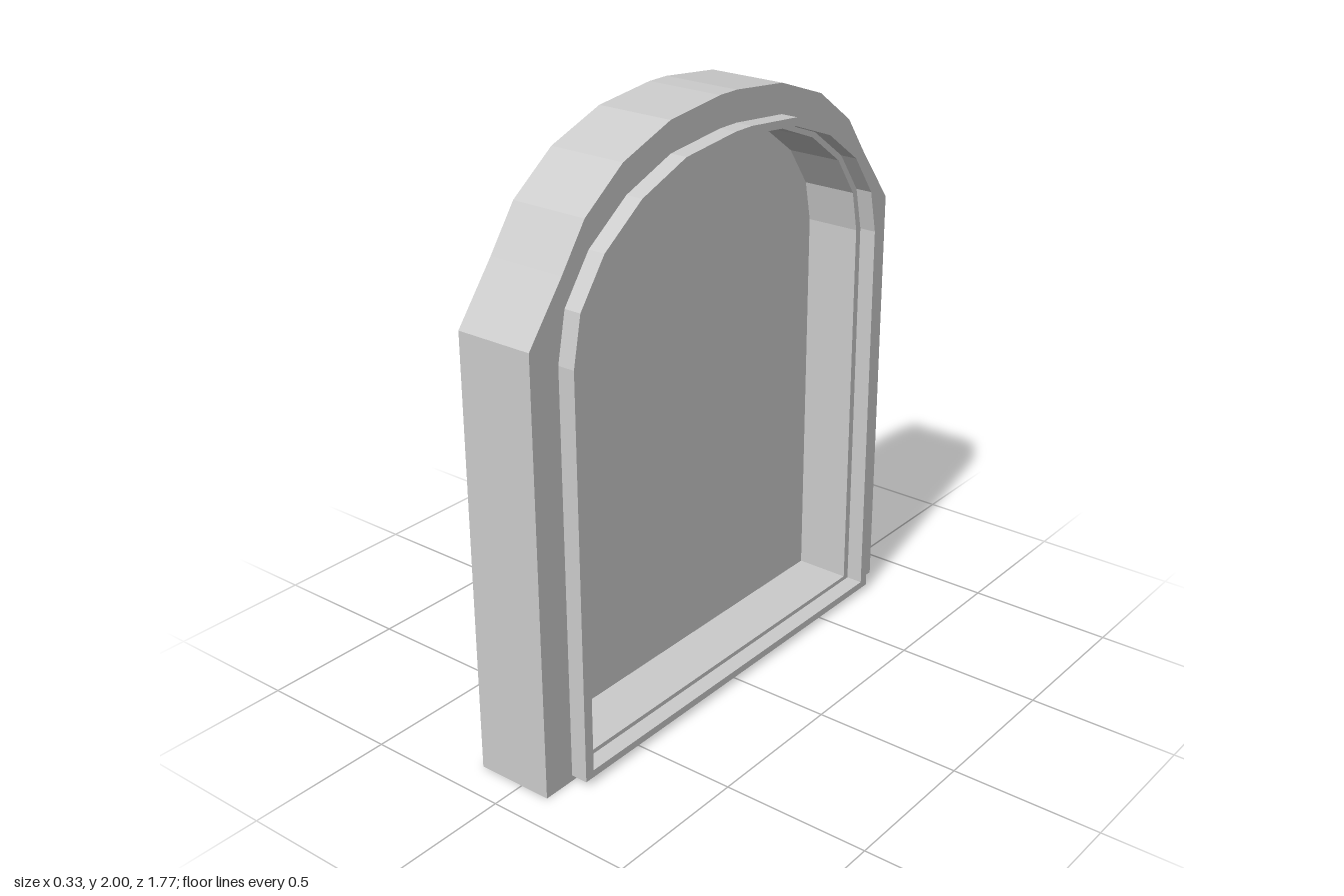
import * as THREE from 'three';

// Half outlines, [half width, height], from the bottom corner up to the crown
const BODY = [[0.885, 0], [0.885, 1.46], [0.745, 1.64], [0.645, 1.78], [0.48, 1.9], [0.27, 1.975], [0.04, 2]];
const RIM = [[0.77, 0.02], [0.77, 1.385], [0.737, 1.544], [0.632, 1.687], [0.468, 1.803], [0.27, 1.877], [0.04, 1.9]];
const REBATE = [[0.735, 0.045], [0.735, 1.385], [0.703, 1.531], [0.606, 1.668], [0.452, 1.78], [0.265, 1.85], [0.04, 1.875]];
const OPENING = [[0.71, 0.06], [0.71, 1.385], [0.682, 1.522], [0.59, 1.655], [0.44, 1.765], [0.26, 1.836], [0.04, 1.86]];

// Mirror a half outline into a closed arch
function arch(half) {
  const mirrored = half.map(([w, y]) => [-w, y]).reverse();
  return [...half, ...mirrored].map(([w, y]) => new THREE.Vector2(w, y));
}

// Arch-shaped slab between two x positions, with an optional arched hole
function slab(name, outline, hole, x0, x1) {
  const shape = new THREE.Shape(arch(outline));
  if (hole) shape.holes.push(new THREE.Path(arch(hole)));
  const geometry = new THREE.ExtrudeGeometry(shape, { depth: x1 - x0, bevelEnabled: false });
  geometry.rotateY(Math.PI / 2).translate(x0, 0, 0);
  const material = new THREE.MeshStandardMaterial({ color: 0xcccccc, flatShading: true });
  const mesh = new THREE.Mesh(geometry, material);
  mesh.name = name;
  return mesh;
}

export function createModel() {
  const group = new THREE.Group();
  group.name = 'archedNiche';
  group.add(
    slab('backPanel', BODY, null, -0.163, -0.085), // closed back and recess floor
    slab('surround', BODY, OPENING, -0.085, 0.105), // thick wall around the recess
    slab('raisedRim', RIM, REBATE, 0.105, 0.163), // moulding leaving a small inner ledge
  );
  return group;
}
